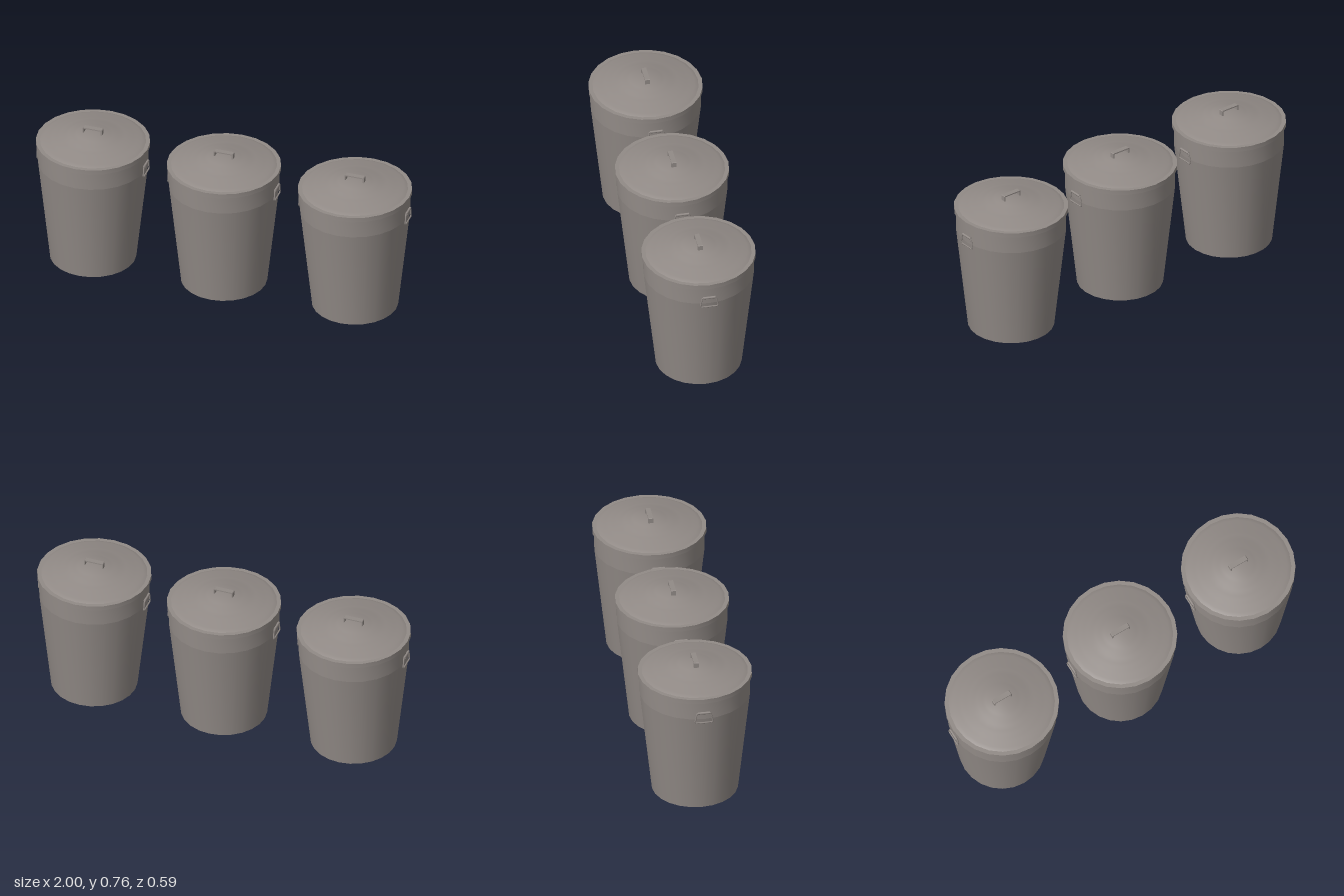
import * as THREE from 'three';
import { toCreasedNormals } from 'three/addons/utils/BufferGeometryUtils.js';

const SEGMENTS = 24;
const SPACING = 0.707;

// Turned part from [radius, height] pairs listed from bottom to top
function turned(name, points, material) {
  const profile = points.map(([r, y]) => new THREE.Vector2(r, y));
  const geometry = toCreasedNormals(new THREE.LatheGeometry(profile, SEGMENTS), 0.6);
  const mesh = new THREE.Mesh(geometry, material);
  mesh.name = name;
  return mesh;
}

// Bent rod loop with a thicker grip, hanging on the +x side
function sideHandle(material) {
  const group = new THREE.Group();
  group.name = 'sideHandle';
  const outline = [
    [0.606, -0.033], [0.601, -0.037], [0.557, -0.046], [0.549, -0.042],
    [0.549, 0.042], [0.557, 0.046], [0.601, 0.037], [0.606, 0.033],
  ].map(([y, z]) => new THREE.Vector3(0.287, y, z));
  const path = new THREE.CurvePath();
  outline.forEach((p, i) => path.add(new THREE.LineCurve3(p, outline[(i + 1) % outline.length])));
  const rod = new THREE.Mesh(new THREE.TubeGeometry(path, 64, 0.004, 6, true), material);
  rod.name = 'handleRod';
  const grip = new THREE.Mesh(new THREE.CylinderGeometry(0.0065, 0.0065, 0.064, 10), material);
  grip.name = 'handleGrip';
  grip.rotation.x = Math.PI / 2;
  grip.position.set(0.287, 0.606, 0);
  group.add(rod, grip);
  return group;
}

// Flat strap bent into a bridge over the lid
function lidHandle(material) {
  const shape = new THREE.Shape([
    [-0.052, 0.73], [-0.046, 0.73], [-0.046, 0.757], [0.046, 0.757],
    [0.046, 0.73], [0.052, 0.73], [0.052, 0.76], [0.049, 0.763],
    [-0.049, 0.763], [-0.052, 0.76],
  ].map(([x, y]) => new THREE.Vector2(x, y)));
  const geometry = new THREE.ExtrudeGeometry(shape, { depth: 0.026, bevelEnabled: false });
  geometry.translate(0, 0, -0.013);
  const mesh = new THREE.Mesh(geometry, material);
  mesh.name = 'lidHandle';
  return mesh;
}

function trashCan(material) {
  const can = new THREE.Group();
  can.name = 'trashCan';
  can.add(
    // Tapered body with a closed bottom, then the straight collar
    turned('body', [[0, 0], [0.222, 0], [0.284, 0.568]], material),
    turned('collar', [[0.284, 0.568], [0.284, 0.675]], material),
    // Lid rim and stepped, rippled dome
    turned('lidRim', [[0.27, 0.665], [0.293, 0.665], [0.293, 0.69], [0.27, 0.69]], material),
    turned('lidDome', [
      [0.272, 0.69], [0.252, 0.699], [0.226, 0.701], [0.209, 0.708], [0.186, 0.71],
      [0.168, 0.717], [0.143, 0.718], [0.127, 0.726], [0.101, 0.727], [0.085, 0.734], [0, 0.734],
    ], material),
    lidHandle(material),
  );
  const left = sideHandle(material);
  const right = sideHandle(material);
  right.rotation.y = Math.PI;
  can.add(left, right);
  return can;
}

export function createModel() {
  const metal = new THREE.MeshStandardMaterial({ color: 0x918a86 });
  metal.name = 'warm grey metal';
  const model = new THREE.Group();
  model.name = 'trashCans';
  // Row of three identical cans
  for (const i of [-1, 0, 1]) {
    const can = trashCan(metal);
    can.position.x = i * SPACING;
    model.add(can);
  }
  return model;
}
